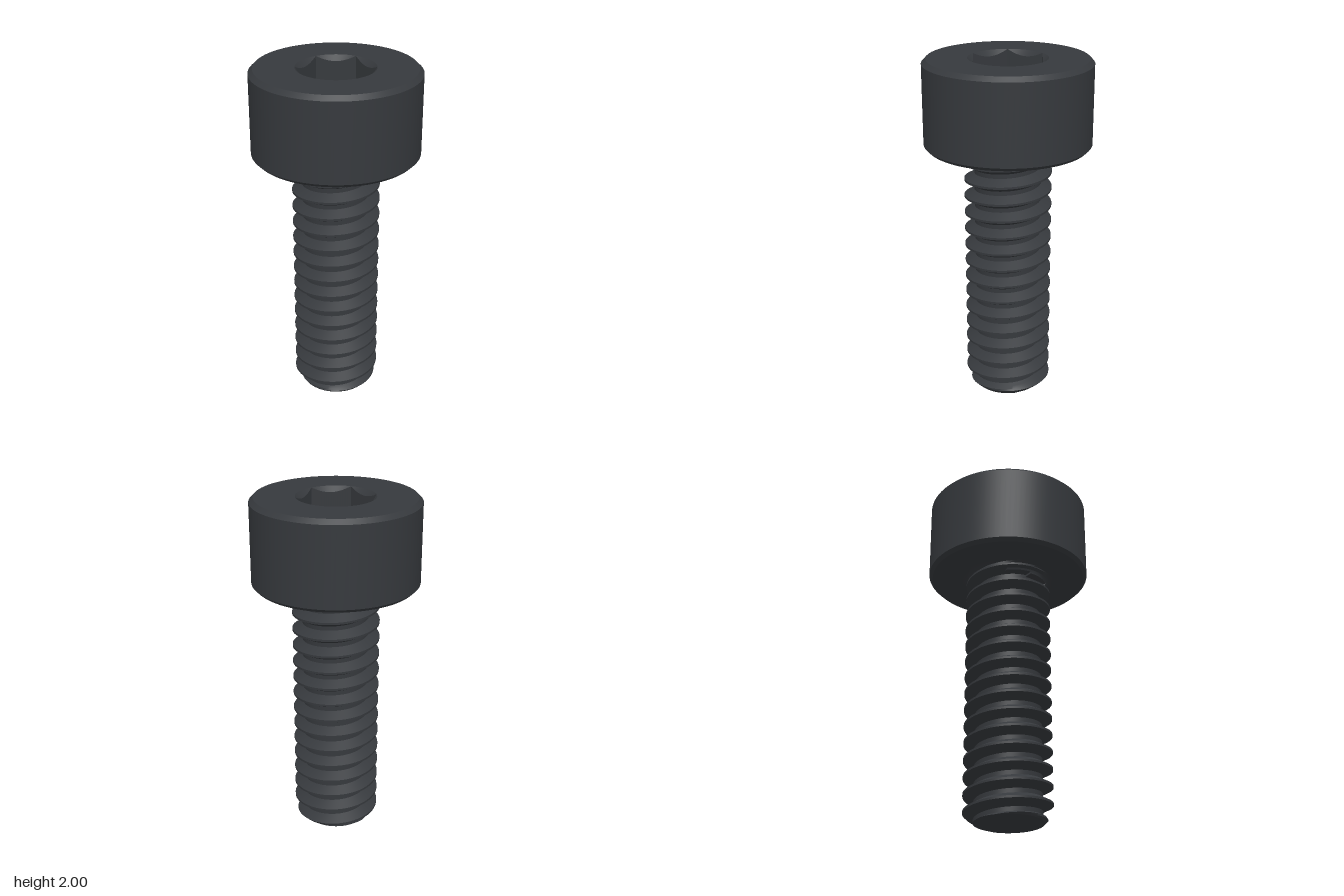
import * as THREE from 'three';
import { toCreasedNormals } from 'three/addons/utils/BufferGeometryUtils.js';

const SEG = 96, PITCH = 0.1, PHASE = 0.03;
const SHAFT_TOP = 1.5, MAJOR = 0.25, ROOT = 0.192;
const { clamp, lerp } = THREE.MathUtils;

// Skins rows of points; each row is a function of the angle returning [radius, y].
function skin(rows, crease) {
  const pos = [], a = new THREE.Vector3(), b = new THREE.Vector3();
  const point = (row, j) => {
    const t = (j / SEG) * Math.PI * 2, [r, y] = row(t);
    return new THREE.Vector3(r * Math.cos(t), y, -r * Math.sin(t));
  };
  const tri = (p, q, s) => {
    if (a.subVectors(q, p).cross(b.subVectors(s, p)).length() < 1e-8) return;
    pos.push(...p.toArray(), ...q.toArray(), ...s.toArray());
  };
  const grid = rows.map(row => Array.from({ length: SEG + 1 }, (_, j) => point(row, j)));
  for (let i = 0; i < rows.length - 1; i++) {
    for (let j = 0; j < SEG; j++) {
      const p = grid[i][j], q = grid[i][j + 1], s = grid[i + 1][j + 1], t = grid[i + 1][j];
      tri(p, q, s);
      tri(p, s, t);
    }
  }
  const geo = new THREE.BufferGeometry();
  geo.setAttribute('position', new THREE.Float32BufferAttribute(pos, 3));
  return toCreasedNormals(geo, crease);
}

// Radius of the threaded shaft, with end chamfer and fillet under the head
function shaftRadius(t, y) {
  const turn = (y - PHASE) / PITCH - t / (Math.PI * 2);
  const d = Math.abs(turn - Math.round(turn));
  let r = lerp(MAJOR, ROOT, clamp((d - 0.0625) / 0.3125, 0, 1));
  r = Math.min(r, 0.2 + y);
  const f = y - (SHAFT_TOP - 0.05);
  if (f > 0) r = Math.max(r, 0.275 - Math.sqrt(Math.max(0, 0.0025 - f * f)));
  return r;
}

// Rows follow the right-handed helix so crests and roots stay crisp
function shaftGeometry() {
  const steps = [-0.5, -0.375, -0.27, -0.167, -0.0625, 0, 0.0625, 0.167, 0.27, 0.375];
  const rows = [() => [0, 0]];
  for (let k = -2; k <= 16; k++) {
    for (const u of steps) {
      rows.push(t => {
        const y = clamp(PHASE + (k + u + t / (Math.PI * 2)) * PITCH, 0, SHAFT_TOP);
        return [shaftRadius(t, y), y];
      });
    }
  }
  return skin(rows, 0.5);
}

// Distance from the axis to the hexagon wall, corners on the x axis
function hexRadius(t) {
  const sector = Math.PI / 3;
  return 0.193 / Math.cos((t % sector) - sector / 2);
}

export function createModel() {
  const group = new THREE.Group();
  const material = new THREE.MeshStandardMaterial({ color: 0x36393d });
  const add = (name, geometry) => {
    const mesh = new THREE.Mesh(geometry, material);
    mesh.name = name;
    group.add(mesh);
  };

  add('threadedShaft', shaftGeometry());

  // Cylindrical head with chamfered rims
  const profile = [[0.2, 1.5], [0.455, 1.5], [0.475, 1.52], [0.475, 1.975], [0.45, 2], [0.223, 2]];
  add('head', skin(profile.map(p => () => p), 0.4));

  // Hexagonal socket with a conical lead-in and flat floor
  add('hexSocket', skin([
    () => [0.223, 2],
    t => [hexRadius(t), 2 - (0.223 - hexRadius(t))],
    t => [hexRadius(t), 1.75],
    () => [0, 1.75],
  ], 0.4));

  return group;
}
